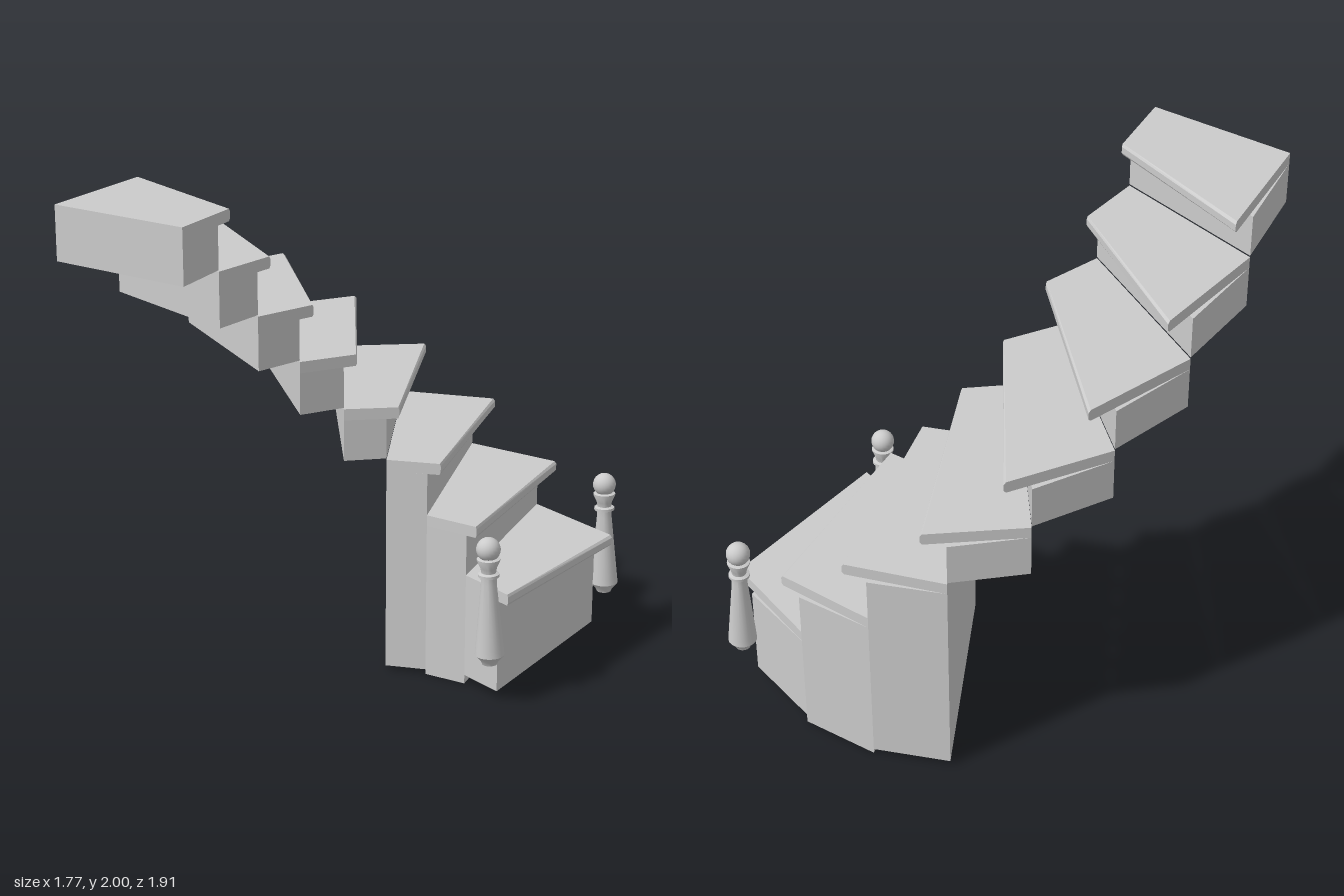
import * as THREE from 'three';
import { toCreasedNormals } from 'three/addons/utils/BufferGeometryUtils.js';

// Plan lines across the flight: [outer x, outer z, inner x, inner z]
const NOSINGS = [
  [0.88, -0.635, 0.685, 0.155], [0.567, -0.85, 0.515, 0.045],
  [0.255, -0.945, 0.34, -0.018], [-0.06, -0.93, 0.17, -0.002],
  [-0.335, -0.8, 0.02, 0.07], [-0.565, -0.565, -0.105, 0.205],
  [-0.74, -0.23, -0.205, 0.38], [-0.855, 0.175, -0.265, 0.598],
];
const RISERS = [
  [0.785, -0.71, 0.635, 0.12], [0.472, -0.893, 0.465, 0.02],
  [0.15, -0.957, 0.287, -0.01], [-0.155, -0.907, 0.122, 0.013],
  [-0.42, -0.74, -0.022, 0.105], [-0.635, -0.465, -0.143, 0.255],
  [-0.795, -0.105, -0.227, 0.45], [-0.88, 0.32, -0.275, 0.68],
  [-0.89, 0.775, -0.28, 0.955],
];
const RISE = 0.219;
const THICK = 0.046;
const FLOOR = [0.037, 0, 0.02];

// Sweeps a convex profile of [t, y] points (t runs from line a to line b) from inner to outer end
function wedge(a, b, profile) {
  const at = (k) => profile.map(([t, y]) => [
    a[k] + (b[k] - a[k]) * t, y, a[k + 1] + (b[k + 1] - a[k + 1]) * t,
  ]);
  const outer = at(0), inner = at(2), n = profile.length, out = [];
  const tri = (...corners) => corners.forEach((p) => out.push(...p));
  for (let i = 0; i < n; i++) {
    const j = (i + 1) % n;
    tri(inner[i], inner[j], outer[j]);
    tri(inner[i], outer[j], outer[i]);
    if (i > 0 && i < n - 1) {
      tri(outer[0], outer[i], outer[j]);
      tri(inner[0], inner[j], inner[i]);
    }
  }
  const geo = new THREE.BufferGeometry();
  geo.setAttribute('position', new THREE.Float32BufferAttribute(out, 3));
  geo.computeVertexNormals();
  return geo;
}

// Turned newel: foot, tapering shaft, collar and cup
function newelGeometry() {
  const points = [
    [0, 0], [0.03, 0], [0.036, 0.014], [0.058, 0.04], [0.056, 0.065], [0.031, 0.335],
    [0.031, 0.362], [0.042, 0.366], [0.042, 0.377], [0.029, 0.382], [0.032, 0.4],
    [0.046, 0.432], [0.046, 0.438], [0.02, 0.445], [0, 0.45],
  ].map(([r, y]) => new THREE.Vector2(r, y));
  return toCreasedNormals(new THREE.LatheGeometry(points, 20), 0.6);
}

export function createModel() {
  const model = new THREE.Group();
  model.name = 'curvedStaircase';
  const material = new THREE.MeshStandardMaterial({ color: 0xcccccc });
  const add = (parent, geometry, name) => {
    const mesh = new THREE.Mesh(geometry, material);
    mesh.name = name;
    parent.add(mesh);
    return mesh;
  };

  // Steps: the lowest three reach the floor, the others rest on the tread below
  NOSINGS.forEach((nosing, i) => {
    const step = new THREE.Group();
    step.name = `step${i + 1}`;
    model.add(step);
    const top = 2 - RISE * (NOSINGS.length - 1 - i);
    const under = top - THICK;
    const bottom = FLOOR[i] ?? top - RISE + 0.006;
    const back = RISERS[i + 1];
    add(step, wedge(RISERS[i], back, [[0, bottom], [1, bottom], [1, under], [0, under]]), 'riserBlock');
    add(step, wedge(nosing, back, [
      [0.02, under], [1, under], [1, top], [0.02, top], [0, top - 0.01], [0, under + 0.01],
    ]), 'tread');
  });

  // Newel posts on both sides of the bottom step, leaning very slightly
  const newel = newelGeometry();
  const ball = new THREE.SphereGeometry(0.048, 20, 14);
  [['outerNewel', 0.823, -0.75], ['innerNewel', 0.617, 0.16]].forEach(([name, x, z]) => {
    const post = new THREE.Group();
    post.name = name;
    post.position.set(x, 0.17, z);
    post.rotation.z = 0.03;
    add(post, newel, 'turnedPost');
    add(post, ball, 'ballFinial').position.y = 0.477;
    model.add(post);
  });
  return model;
}
